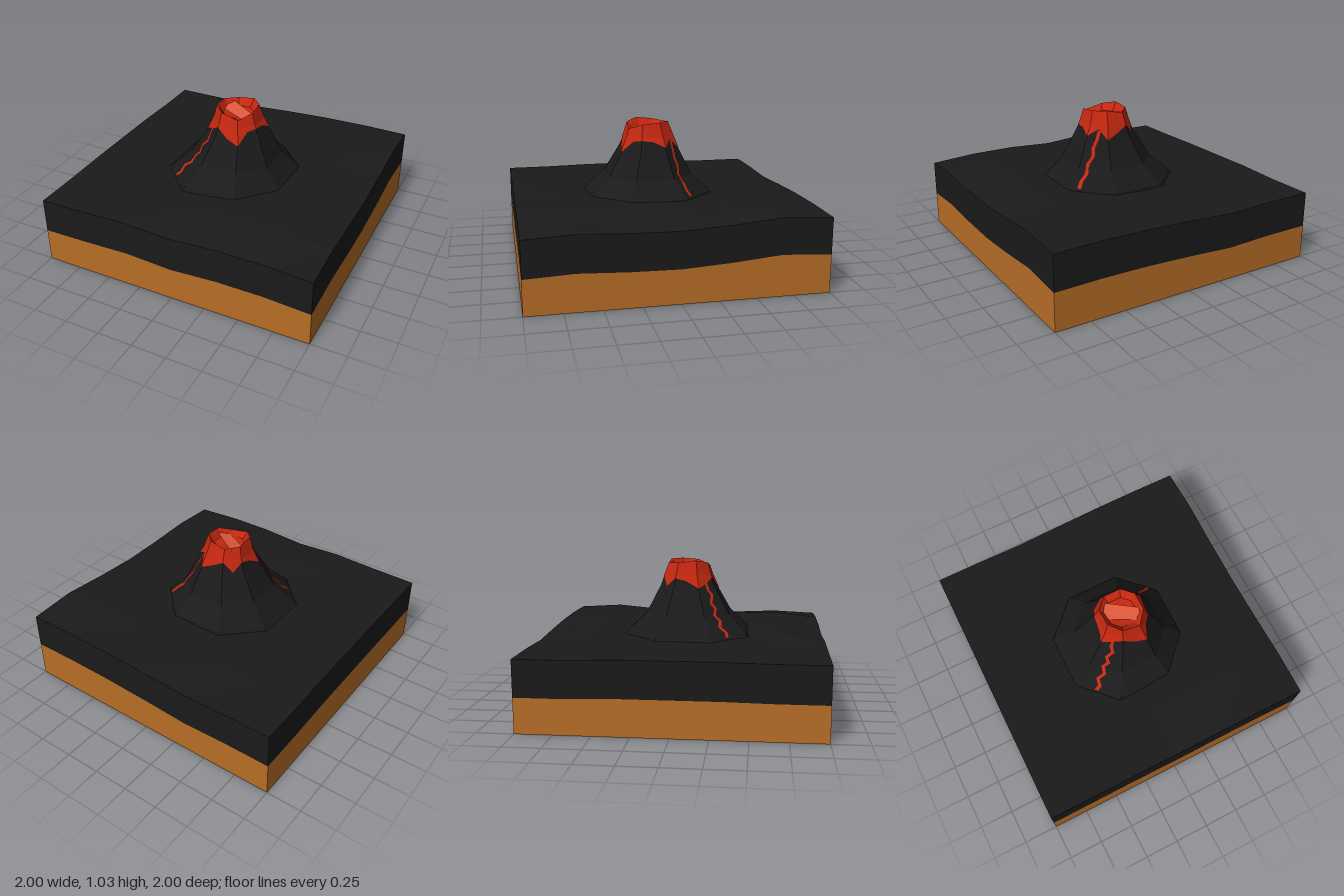
import * as THREE from 'three';

const mat = (color, side = THREE.FrontSide) =>
  new THREE.MeshStandardMaterial({ color, flatShading: true, side });
const rock = mat(0x1a1a1a), soil = mat(0xb86d26);
const magma = mat(0xc42710, THREE.DoubleSide), glow = mat(0xe0593c, THREE.DoubleSide);

// Ground heights on a 7 x 7 grid, rows from back to front, columns from -x to +x
const GROUND = [
  [.49, .49, .48, .50, .515, .52, .515],
  [.49, .495, .50, .51, .53, .54, .535],
  [.50, .50, .51, .51, .52, .53, .505],
  [.50, .50, .51, .50, .52, .53, .485],
  [.50, .495, .505, .50, .53, .54, .49],
  [.495, .50, .50, .52, .535, .545, .505],
  [.495, .50, .51, .49, .51, .51, .49],
];
const LAYER = 0.25;

// Cone rings: y, x min, x max, z min, z max
const RINGS = [
  [.46, -.48, .47, -.42, .50],
  [.53, -.41, .43, -.40, .45],
  [.65, -.28, .32, -.27, .33],
  [.85, -.16, .23, -.17, .22],
  [.93, -.125, .19, -.14, .19],
  [1.04, -.10, .16, -.10, .16],
];
const OCTAGON = [[1, .45], [.45, 1], [-.45, 1], [-1, .45], [-1, -.45], [-.45, -1], [.45, -1], [1, -.45]];
const RIM = [1.02, .985, 1.015, 1.035, 1.02, 1.01, 1.03, 1.03];

// Point on the cone at corner parameter t (0..8) and height y, pushed out by lift
function onCone(t, y, lift = 0) {
  let i = 0;
  while (i < RINGS.length - 2 && y > RINGS[i + 1][0]) i++;
  const f = (y - RINGS[i][0]) / (RINGS[i + 1][0] - RINGS[i][0]);
  const [, x0, x1, z0, z1] = RINGS[i].map((v, k) => THREE.MathUtils.lerp(v, RINGS[i + 1][k], f));
  const k = Math.floor(t), a = OCTAGON[k % 8], b = OCTAGON[(k + 1) % 8], g = t - k;
  const ux = THREE.MathUtils.lerp(a[0], b[0], g), uz = THREE.MathUtils.lerp(a[1], b[1], g);
  return [(x0 + x1) / 2 + ux * ((x1 - x0) / 2 + lift), y, (z0 + z1) / 2 + uz * ((z1 - z0) / 2 + lift)];
}

// Surface through rows of points
function loft(rows, closed) {
  const n = rows[0].length, index = [];
  for (let r = 0; r < rows.length - 1; r++) {
    for (let c = 0; c < (closed ? n : n - 1); c++) {
      const d = (c + 1) % n, a = r * n, b = a + n;
      index.push(a + c, b + c, a + d, b + c, b + d, a + d);
    }
  }
  const geo = new THREE.BufferGeometry();
  geo.setAttribute('position', new THREE.Float32BufferAttribute(rows.flat(2), 3));
  geo.setIndex(index);
  geo.computeVertexNormals();
  return geo;
}

// Square slab whose top and bottom follow the given height rules
function slab(top, bottom) {
  const geo = new THREE.BoxGeometry(2, 1, 2, 6, 1, 6), p = geo.attributes.position;
  for (let i = 0; i < p.count; i++) {
    const h = GROUND[Math.round((p.getZ(i) + 1) * 3)][Math.round((p.getX(i) + 1) * 3)];
    p.setY(i, p.getY(i) > 0 ? top(h) : bottom(h));
  }
  geo.computeVertexNormals();
  return geo;
}

export function createModel() {
  const group = new THREE.Group();
  const add = (name, geo, material) => {
    const mesh = new THREE.Mesh(geo, material);
    mesh.name = name;
    group.add(mesh);
  };

  // Ground layers
  add('soilLayer', slab(h => h - LAYER, () => 0), soil);
  add('rockLayer', slab(h => h, h => h - LAYER), rock);

  // Mountain flanks, stopping under the lava cap
  const corners = [0, 1, 2, 3, 4, 5, 6, 7];
  add('cone', loft(RINGS.slice(0, 5).map(r => corners.map(t => onCone(t, r[0]))), true), rock);

  // Lava cap: jagged lower edge, uneven rim, then down into the crater
  const drips = [.91, .90, .82, .85, .91, .87, .84, .89, .91, .85, .92, .88, .84, .91, .86, .90];
  const ts = drips.map((_, i) => i / 2);
  const rimY = t => (RIM[Math.floor(t)] + RIM[Math.ceil(t) % 8]) / 2;
  const shrink = (t, s, y) => {
    const [x, , z] = onCone(t, 1.03);
    return [.03 + (x - .03) * s, y, .03 + (z - .03) * s];
  };
  add('lavaCap', loft([
    ts.map((t, i) => onCone(t, drips[i], .005)),
    ts.map(t => onCone(t, .93, .005)),
    ts.map(t => onCone(t, rimY(t), .003)),
    ts.map(t => shrink(t, .75, .97)),
    ts.map(t => shrink(t, .02, .95)),
  ], true), magma);

  // Glowing pool in the crater
  add('lavaPool', loft([
    [[-.09, .975, .03], [.12, .975, .14]],
    [[-.07, .995, -.09], [.15, .995, .06]],
  ], false), glow);

  // Lava streams: centre lines as [t, y], stepping sideways on the way down
  const streams = {
    frontLavaStream: [[2.5, .89], [2.52, .83], [2.4, .79], [2.58, .74], [2.47, .70], [2.6, .66], [2.5, .62], [2.62, .585], [2.52, .55], [2.56, .52]],
    backLavaStream: [[6.45, .90], [6.5, .84], [6.62, .79], [6.6, .73], [6.74, .68], [6.72, .62], [6.8, .58], [6.8, .54]],
  };
  for (const [name, path] of Object.entries(streams)) {
    const rows = path.map(([t, y]) => {
      const w = .014 / (onCone(0, y)[0] * .8);
      return [onCone(t - w, y, .006), onCone(t + w, y, .006)];
    });
    add(name, loft(rows.reverse(), false), magma);
  }
  return group;
}
